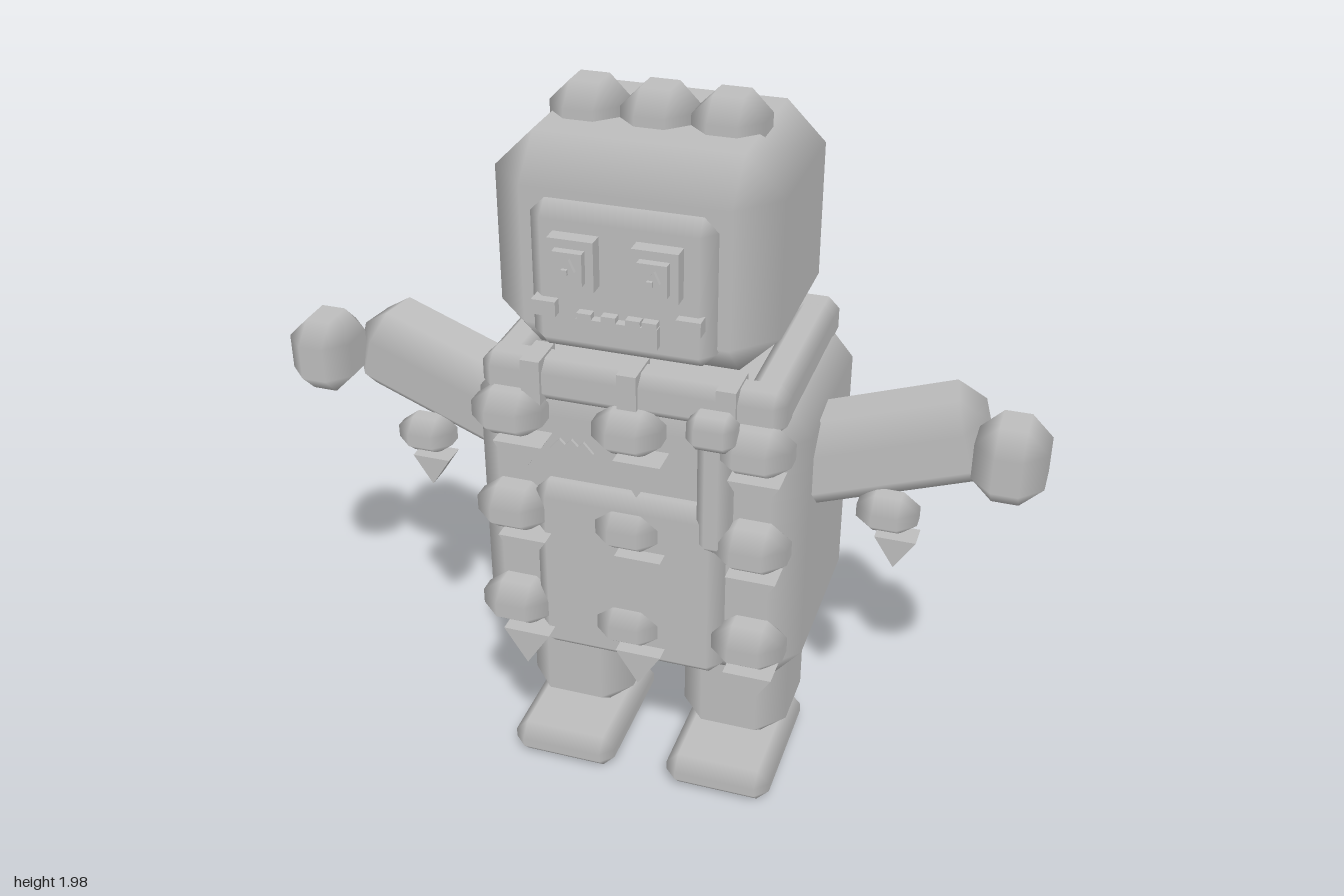
import * as THREE from 'three';

const grey = new THREE.MeshStandardMaterial({ color: 0xbdbdbd });
grey.name = 'grey';

// Box with cut edges: flat sides, with normals blended across the bevels.
function bevelGeometry(size, bevel) {
  const h = size.map((s) => s / 2);
  const pos = [], nor = [], idx = [];
  const id = (axis, s) => axis * 8 + (s[0] > 0 ? 1 : 0) + (s[1] > 0 ? 2 : 0) + (s[2] > 0 ? 4 : 0);
  for (let axis = 0; axis < 3; axis++) {
    for (let c = 0; c < 8; c++) {
      const s = [c & 1 ? 1 : -1, c & 2 ? 1 : -1, c & 4 ? 1 : -1];
      for (let k = 0; k < 3; k++) {
        pos.push(s[k] * (k === axis ? h[k] : h[k] - bevel[k]));
        nor.push(k === axis ? s[k] : 0);
      }
    }
  }
  const point = (i) => new THREE.Vector3().fromArray(pos, i * 3);
  // A triangle is turned so that it faces away from the centre.
  const tri = (a, b, c) => {
    const A = point(a), B = point(b), C = point(c);
    const n = B.clone().sub(A).cross(C.clone().sub(A));
    if (n.dot(A.add(B).add(C)) > 0) idx.push(a, b, c);
    else idx.push(a, c, b);
  };
  const quad = (a, b, c, d) => { tri(a, b, c); tri(a, c, d); };
  for (let axis = 0; axis < 3; axis++) {
    const u = (axis + 1) % 3, v = (axis + 2) % 3;
    const corner = (a, p, q, r) => {
      const s = [0, 0, 0];
      s[axis] = p; s[u] = q; s[v] = r;
      return id(a, s);
    };
    for (const p of [-1, 1]) {
      quad(corner(axis, p, -1, -1), corner(axis, p, 1, -1), corner(axis, p, 1, 1), corner(axis, p, -1, 1));
      for (const q of [-1, 1]) {
        quad(corner(axis, p, q, -1), corner(axis, p, q, 1), corner(u, p, q, 1), corner(u, p, q, -1));
      }
    }
  }
  for (let c = 0; c < 8; c++) tri(c, c + 8, c + 16);
  const g = new THREE.BufferGeometry();
  g.setAttribute('position', new THREE.Float32BufferAttribute(pos, 3));
  g.setAttribute('normal', new THREE.Float32BufferAttribute(nor, 3));
  g.setIndex(idx);
  return g;
}

export function createModel() {
  const model = new THREE.Group();
  model.name = 'robot';

  const add = (name, geometry, x = 0, y = 0, z = 0) => {
    const mesh = new THREE.Mesh(geometry, grey);
    mesh.name = name;
    mesh.position.set(x, y, z);
    model.add(mesh);
    return mesh;
  };
  // Blocks are given by their limits on each axis.
  const block = (name, [x0, x1], [y0, y1], [z0, z1], bevel = 0) => {
    const size = [x1 - x0, y1 - y0, z1 - z0];
    const b = Array.isArray(bevel) ? bevel : [bevel, bevel, bevel];
    const g = bevel ? bevelGeometry(size, b) : new THREE.BoxGeometry(...size);
    return add(name, g, (x0 + x1) / 2, (y0 + y1) / 2, (z0 + z1) / 2);
  };
  const flat = (name, points, depth, x, y, z) => {
    const shape = new THREE.Shape(points.map(([a, b]) => new THREE.Vector2(a, b)));
    return add(name, new THREE.ExtrudeGeometry(shape, { depth, bevelEnabled: false }), x, y, z);
  };

  // Head, face plate and the three knobs on top
  block('head', [-0.355, 0.355], [1.347, 1.897], [-0.31, 0.272], 0.1);
  block('facePlate', [-0.227, 0.227], [1.40, 1.775], [0.2, 0.31], 0.035);
  for (const x of [-0.175, 0, 0.175]) {
    block('headKnob', [x - 0.09, x + 0.09], [1.805, 1.975], [-0.09, 0.09], 0.053);
  }

  // Stepped eyes, cheeks and toothed mouth
  for (const x of [-0.103, 0.1]) {
    block('eyeFrame', [x - 0.056, x + 0.056], [1.588, 1.712], [0.29, 0.35]);
    block('eye', [x - 0.036, x + 0.036], [1.61, 1.69], [0.34, 0.372]);
    flat('pupil', [[-0.02, -0.012], [0.002, -0.022], [0.022, 0], [0.008, 0.03], [-0.004, 0.014]],
      0.013, x, 1.648, 0.37);
    block('pupilGlint', [x - 0.007, x + 0.007], [1.642, 1.656], [0.375, 0.392]);
  }
  for (const x of [-0.18, 0.175]) {
    block('cheek', [x - 0.03, x + 0.03], [1.504, 1.542], [0.29, 0.335]);
  }
  block('mouth', [-0.1, 0.1], [1.456, 1.508], [0.29, 0.333]);
  for (const x of [-0.08, -0.02, 0.04, 0.08]) {
    block('tooth', [x - 0.018, x + 0.018], [1.5, 1.522], [0.29, 0.333]);
  }

  // Body with belly panel
  block('body', [-0.44, 0.44], [0.422, 1.27], [-0.39, 0.24], [0.08, 0.095, 0.09]);
  block('bellyPanel', [-0.252, 0.252], [0.48, 0.995], [0.15, 0.29], 0.035);

  // Collar of four bars held by clips
  block('collarFront', [-0.392, 0.392], [1.215, 1.33], [0.15, 0.258], 0.03);
  block('collarBack', [-0.392, 0.392], [1.215, 1.33], [-0.352, -0.24], 0.03);
  for (const s of [-1, 1]) {
    const x = s * 0.335;
    block('collarSide', [x - 0.055, x + 0.055], [1.217, 1.328], [-0.35, 0.257], 0.03);
  }
  for (const x of [-0.25, 0, 0.25]) {
    block('collarClipFront', [x - 0.025, x + 0.025], [1.212, 1.337], [0.16, 0.27]);
    block('collarClipBack', [x - 0.025, x + 0.025], [1.212, 1.337], [-0.364, -0.25]);
  }

  // Pixel heart on the chest
  flat('heart', [[0, -0.055], [0.058, 0.005], [0.032, 0.035], [0.017, 0.02], [0, 0.038],
    [-0.017, 0.02], [-0.032, 0.035], [-0.058, 0.005]], 0.02, -0.155, 1.08, 0.228);

  // Strap with a buckle
  block('strap', [0.185, 0.268], [0.88, 1.26], [0.2, 0.305], 0.025);
  block('strapBuckle', [0.168, 0.29], [1.2, 1.292], [0.26, 0.348], 0.025);

  // Studs with a hanging wedge below each
  const stud = (x, y, z, w, shift) => {
    const k = w / 0.19;
    block('studCap', [x - w / 2, x + w / 2], [y - 0.063 * k, y + 0.063 * k],
      [z - 0.073 * k, z + 0.073 * k], [0.055 * k, 0.042 * k, 0.05 * k]);
    const r = 0.064 * k;
    flat('studWedge', [[-r, 0], [0, -0.1 * k], [r, 0]], 0.08 * k, x + shift, y - 0.053 * k, z - 0.006);
  };
  for (const y of [1.188, 0.906, 0.606]) {
    stud(-0.31, y, 0.262, 0.19, 0.045);
    stud(0.003, y - 0.005, 0.262, 0.18, 0.042);
    stud(0.325, y, 0.262, 0.19, 0.015);
  }

  for (const s of [-1, 1]) {
    // Arm, hand and arm stud
    const arm = add('arm', bevelGeometry([0.54, 0.235, 0.235], [0.06, 0.065, 0.065]), s * 0.585, 1.1, -0.012);
    arm.rotation.set(0, s * 0.16, s * 0.26);
    const hx = s * 0.912;
    block('hand', [hx - 0.088, hx + 0.088], [1.067, 1.272], [-0.022, 0.178], 0.055);
    stud(s > 0 ? 0.628 : -0.632, 0.965, 0.088, 0.155, 0.032);

    // Leg and foot
    const lx = s * 0.228;
    block('leg', [lx - 0.15, lx + 0.15], [0.102, 0.465], [-0.235, 0.095], [0.073, 0.065, 0.08]);
    block('foot', [lx - 0.15, lx + 0.15], [0, 0.102], [-0.21, 0.22], [0.035, 0.038, 0.035]);
  }
  return model;
}
